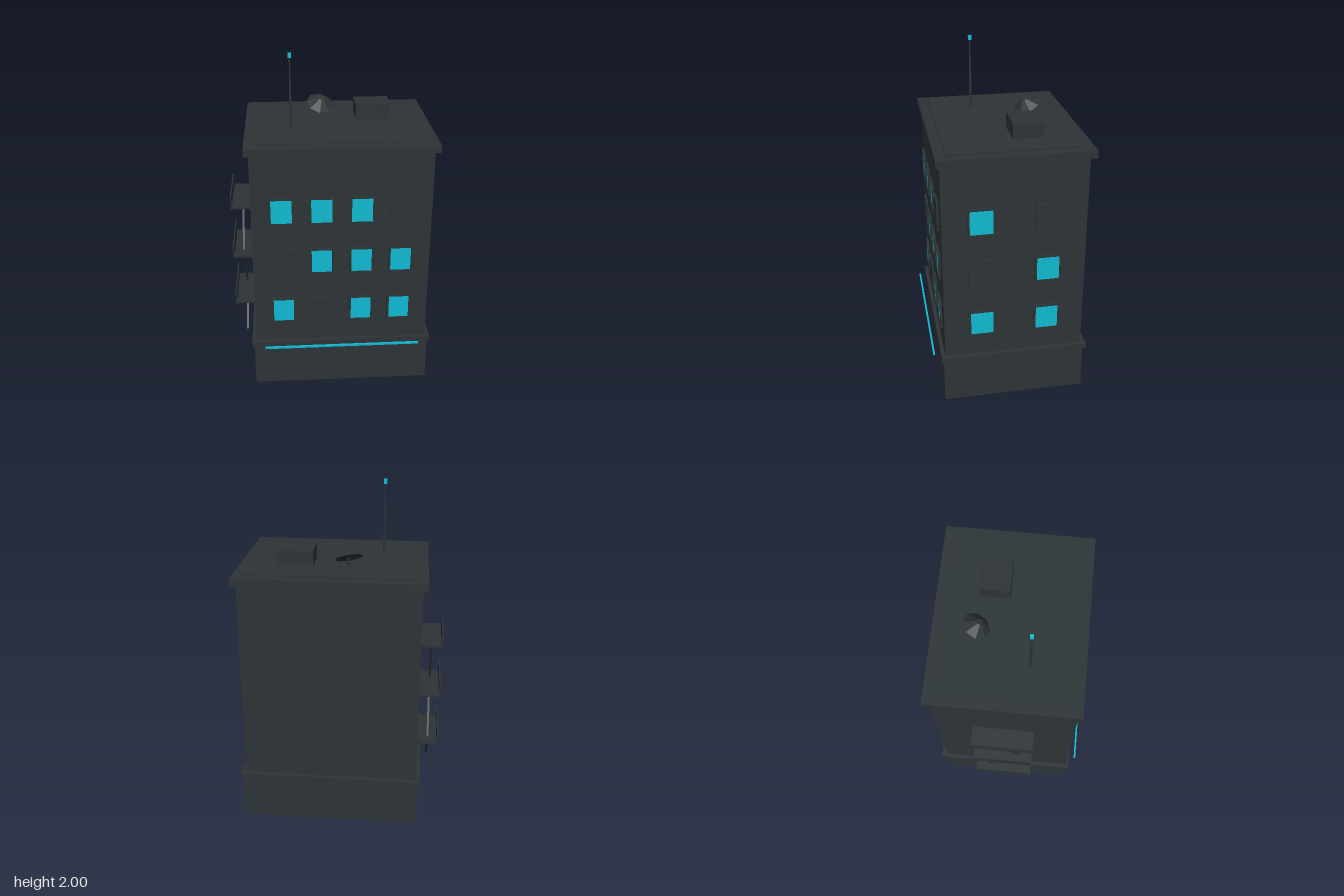
import * as THREE from 'three';

export function createModel() {
  const model = new THREE.Group();
  const wall = new THREE.MeshStandardMaterial({ name: 'charcoal', color: 0x2d3436, flatShading: true });
  const glow = new THREE.MeshStandardMaterial({ name: 'cyanGlow', color: 0x0fb9d1, flatShading: true });

  const add = (name, geometry, material, parent = model) => {
    const mesh = new THREE.Mesh(geometry, material);
    mesh.name = name;
    parent.add(mesh);
    return mesh;
  };
  // Box given by its minimum and maximum corners
  const box = (name, [x0, y0, z0], [x1, y1, z1], material = wall) => {
    const mesh = add(name, new THREE.BoxGeometry(x1 - x0, y1 - y0, z1 - z0), material);
    mesh.position.set((x0 + x1) / 2, (y0 + y1) / 2, (z0 + z1) / 2);
    return mesh;
  };

  // Main masses
  box('plinth', [-0.48, 0, -0.44], [0.58, 0.28, 0.4]);
  box('ledge', [-0.493, 0.276, -0.457], [0.593, 0.306, 0.412]);
  box('body', [-0.467, 0.3, -0.427], [0.565, 1.51, 0.389]);
  box('cornice', [-0.493, 1.508, -0.459], [0.593, 1.55, 0.41]);
  box('roofDeck', [-0.434, 1.545, -0.4], [0.532, 1.56, 0.35]);
  box('lightStrip', [-0.414, 0.284, 0.445], [0.515, 0.296, 0.456], glow);

  // Windows: lit ones have an open frame with a pane, dark ones are shuttered
  const makeWindow = (lit, w, h) => {
    const group = new THREE.Group();
    group.name = lit ? 'litWindow' : 'darkWindow';
    const depth = 0.013;
    if (!lit) {
      add('shutter', new THREE.BoxGeometry(w, h, depth), wall, group).position.z = depth / 2;
      return group;
    }
    const rect = (Type, a, b) => new Type([[-a, -b], [a, -b], [a, b], [-a, b]].map(([x, y]) => new THREE.Vector2(x / 2, y / 2)));
    const shape = rect(THREE.Shape, w, h);
    shape.holes.push(rect(THREE.Path, w - 0.024, h - 0.024));
    add('windowFrame', new THREE.ExtrudeGeometry(shape, { depth, bevelEnabled: false }), wall, group);
    add('windowPane', new THREE.BoxGeometry(w - 0.024, h - 0.024, 0.008), glow, group).position.z = 0.004;
    return group;
  };
  const rows = [1.168, 0.847, 0.52];
  const frontLit = [[1, 1, 1, 0], [0, 1, 1, 1], [1, 0, 1, 1]];
  const sideLit = [[1, 0], [0, 1], [1, 1]];
  rows.forEach((y, r) => {
    [-0.295, -0.066, 0.165, 0.394].forEach((x, c) => {
      const win = makeWindow(frontLit[r][c], 0.143, 0.168);
      win.position.set(x, y, 0.389);
      model.add(win);
    });
    [0.17, -0.21].forEach((z, c) => {
      const win = makeWindow(sideLit[r][c], 0.154, 0.168);
      win.position.set(0.565, y, z);
      win.rotation.y = Math.PI / 2;
      model.add(win);
    });
  });

  // Fire escape: platforms with solid rails
  const floors = [1.087, 0.76, 0.433];
  for (const y of floors) {
    box('escapePlatform', [-0.596, y - 0.006, -0.205], [-0.465, y + 0.006, 0.156]);
    box('escapeRail', [-0.596, y, -0.205], [-0.588, y + 0.078, 0.156]);
  }
  // Zigzag stair bars
  const stops = [[1.087, -0.12], [0.76, 0.07], [0.433, -0.12], [0.195, 0.1]]
    .map(([y, z]) => new THREE.Vector3(-0.533, y, z));
  for (let i = 0; i < 3; i++) {
    const a = stops[i], b = stops[i + 1];
    const bar = add('escapeStair', new THREE.BoxGeometry(0.013, 0.013, a.distanceTo(b)), wall);
    bar.position.copy(a).lerp(b, 0.5);
    bar.lookAt(b);
  }

  // Roof equipment
  box('roofUnit', [0.162, 1.555, -0.214], [0.369, 1.648, -0.041]);
  add('antennaMast', new THREE.CylinderGeometry(0.004, 0.009, 0.425, 6), wall).position.set(-0.226, 1.765, 0.104);
  box('antennaLight', [-0.2355, 1.973, 0.0945], [-0.2165, 2, 0.1135], glow);
  add('dishStem', new THREE.CylinderGeometry(0.008, 0.008, 0.07, 6), wall).position.set(-0.038, 1.59, -0.205);
  const dish = add('dish', new THREE.CylinderGeometry(0.02, 0.084, 0.046, 8), wall);
  const axis = new THREE.Vector3(0.19, 0.87, 0.46).normalize();
  dish.quaternion.setFromUnitVectors(new THREE.Vector3(0, 1, 0), axis);
  dish.position.set(-0.042, 1.613, -0.207).addScaledVector(axis, 0.023);

  return model;
}
